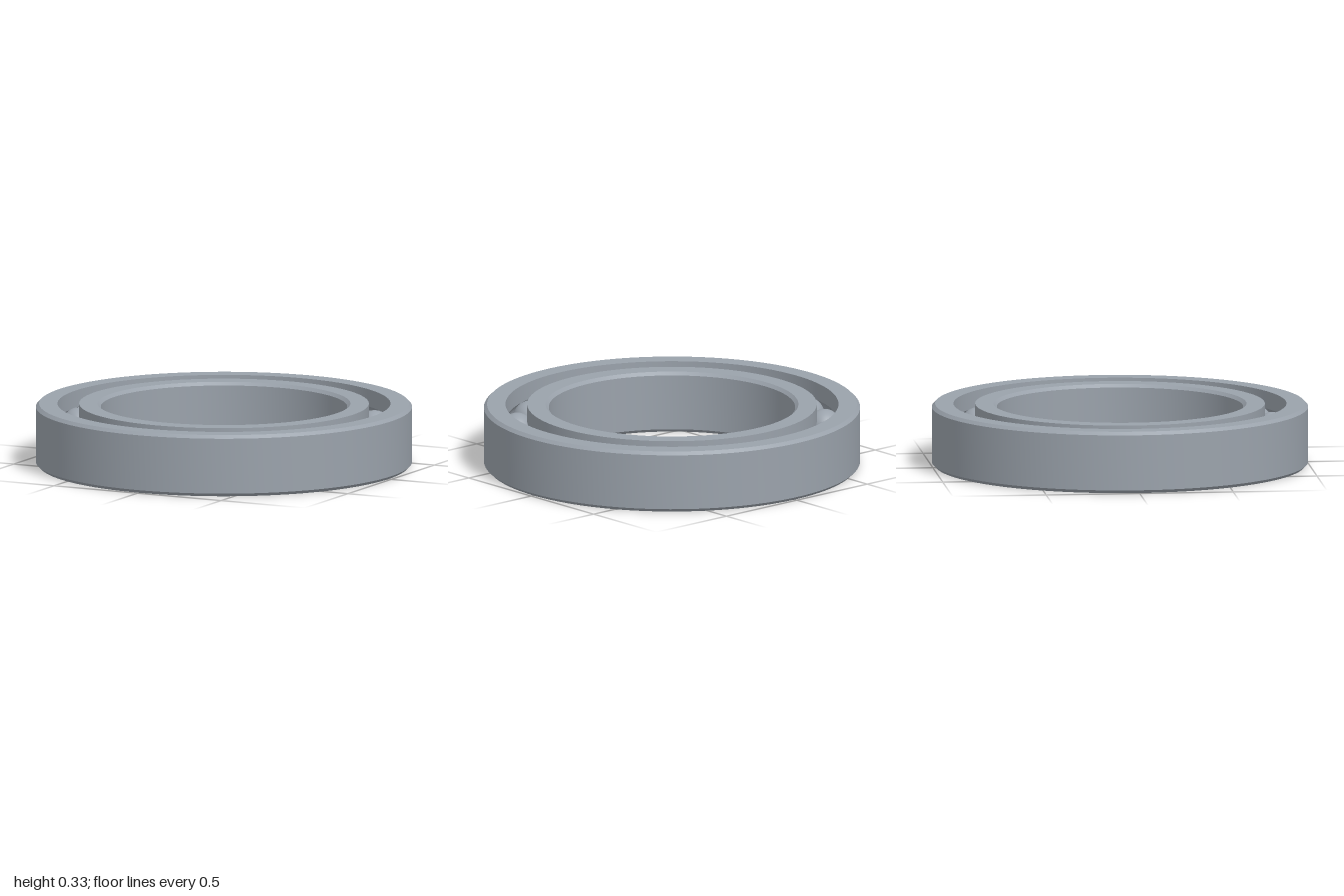
import * as THREE from 'three';
import { toCreasedNormals } from 'three/addons/utils/BufferGeometryUtils.js';

const HEIGHT = 0.33;
const MID = HEIGHT / 2;
const PITCH = 0.8275;      // radius of the circle of ball centres
const BALL_RADIUS = 0.091;
const BALL_COUNT = 20;
const CHAMFER = 0.017;

// Ring with a chamfered plain wall and a ball groove in the other wall.
// side = 1: outer ring, side = -1: inner ring.
function ringGeometry(plainRadius, grooveWall, side) {
  const face = plainRadius - side * CHAMFER;
  const points = [
    [grooveWall, 0],
    [face, 0],
    [plainRadius, CHAMFER],
    [plainRadius, HEIGHT - CHAMFER],
    [face, HEIGHT],
    [grooveWall, HEIGHT],
  ];
  // Groove arc, from its top edge to its bottom edge
  const radius = BALL_RADIUS + 0.001;
  const half = Math.acos(Math.abs(grooveWall - PITCH) / radius);
  const steps = 14;
  for (let i = 0; i <= steps; i++) {
    const t = half * (1 - (2 * i) / steps);
    points.push([PITCH + side * radius * Math.cos(t), MID + radius * Math.sin(t)]);
  }
  points.push([grooveWall, 0]);

  const profile = points.map(([x, y]) => new THREE.Vector2(x, y));
  if (side < 0) profile.reverse(); // keep the faces pointing outwards
  return toCreasedNormals(new THREE.LatheGeometry(profile, 128), 0.5);
}

export function createModel() {
  const group = new THREE.Group();
  group.name = 'ballBearing';

  const steel = new THREE.MeshStandardMaterial({ color: 0x9aa2ab });
  steel.name = 'steel';

  // Two races
  const outerRing = new THREE.Mesh(ringGeometry(1, 0.885, 1), steel);
  outerRing.name = 'outerRing';
  const innerRing = new THREE.Mesh(ringGeometry(0.655, 0.77, -1), steel);
  innerRing.name = 'innerRing';
  group.add(outerRing, innerRing);

  // Balls
  const balls = new THREE.Group();
  balls.name = 'balls';
  const ballGeometry = new THREE.SphereGeometry(BALL_RADIUS, 32, 20);
  const offset = THREE.MathUtils.degToRad(-6.1);
  for (let i = 0; i < BALL_COUNT; i++) {
    const angle = offset + (i / BALL_COUNT) * Math.PI * 2;
    const ball = new THREE.Mesh(ballGeometry, steel);
    ball.name = `ball${i + 1}`;
    ball.position.set(PITCH * Math.cos(angle), MID, PITCH * Math.sin(angle));
    balls.add(ball);
  }
  group.add(balls);

  return group;
}
